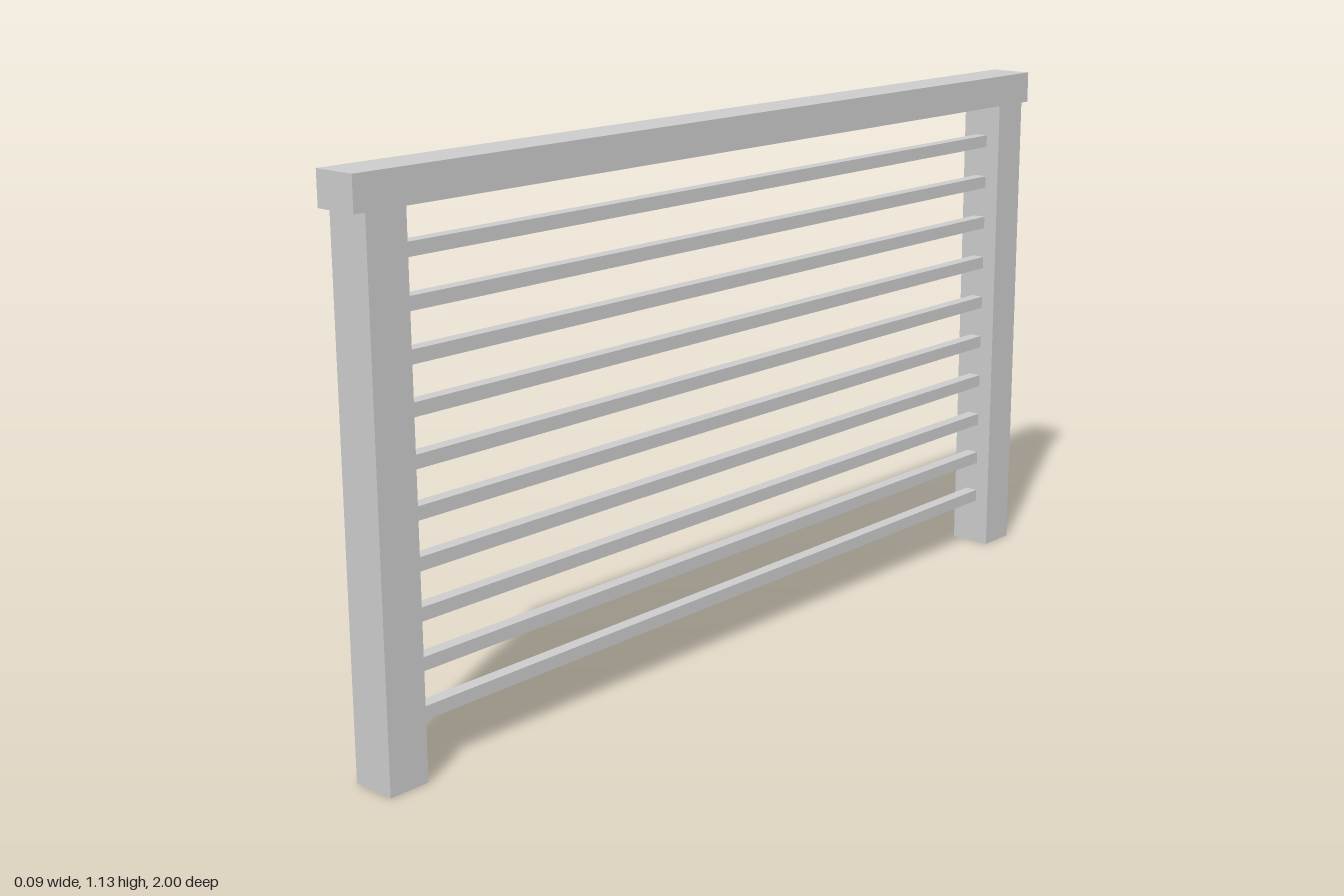
import * as THREE from 'three';

const material = new THREE.MeshStandardMaterial({ color: 0xcccccc });

function addBox(parent, name, size, position) {
  const mesh = new THREE.Mesh(new THREE.BoxGeometry(...size), material);
  mesh.name = name;
  mesh.position.set(...position);
  parent.add(mesh);
}

export function createModel() {
  const model = new THREE.Group();
  model.name = 'railing';
  const width = 0.094, railBottom = 1.06, railTop = 1.128;

  // Top rail, overhanging the posts at both ends
  addBox(model, 'topRail', [width, railTop - railBottom, 2],
    [0, (railTop + railBottom) / 2, 0]);

  // Upright posts
  for (const side of [1, -1]) {
    addBox(model, side > 0 ? 'frontPost' : 'backPost',
      [width, railBottom, 0.089], [0, railBottom / 2, side * 0.931]);
  }

  // Ten evenly spaced horizontal bars between the posts
  const bars = new THREE.Group();
  bars.name = 'bars';
  for (let i = 0; i < 10; i++) {
    addBox(bars, `bar${i + 1}`, [0.028, 0.027, 1.79], [0, 0.117 + i * 0.0955, 0]);
  }
  model.add(bars);
  return model;
}
